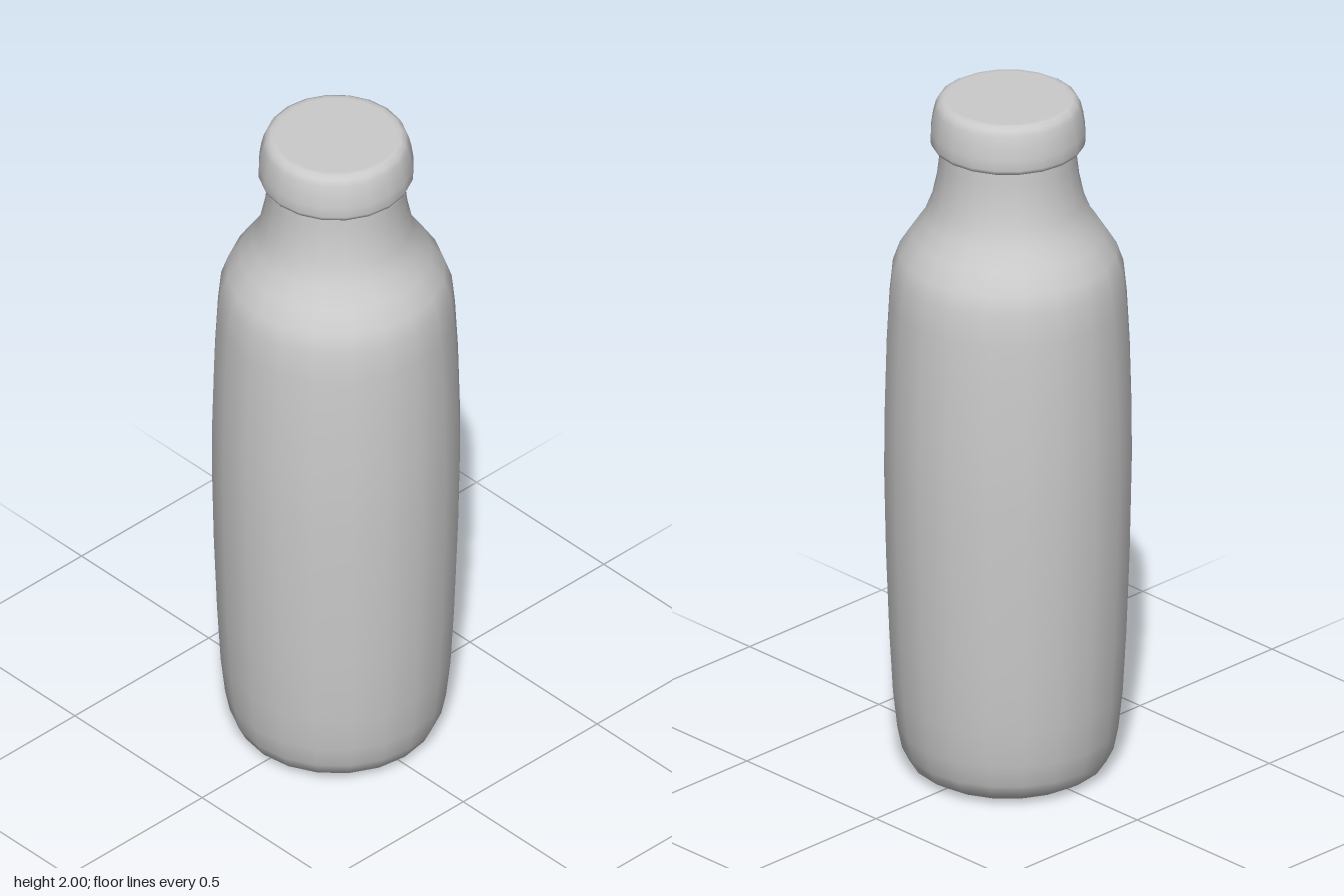
import * as THREE from 'three';

const SIDES = 20;
const material = new THREE.MeshStandardMaterial({ color: 0xcccccc });

// Revolves [radius, height] pairs, listed from bottom to top
function turned(name, profile) {
  const points = profile.map(([r, y]) => new THREE.Vector2(r, y));
  const mesh = new THREE.Mesh(new THREE.LatheGeometry(points, SIDES), material);
  mesh.name = name;
  return mesh;
}

export function createModel() {
  const group = new THREE.Group();
  group.name = 'bottle';

  // Body: rounded base, slightly bulging wall, soft shoulder and neck
  group.add(turned('body', [
    [0, 0], [0.215, 0], [0.24, 0.006], [0.27, 0.025], [0.29, 0.065],
    [0.303, 0.13], [0.315, 0.24], [0.325, 0.42], [0.334, 0.66],
    [0.339, 0.9], [0.338, 1.06], [0.333, 1.25], [0.325, 1.4],
    [0.316, 1.49], [0.297, 1.545], [0.262, 1.6], [0.228, 1.65],
    [0.208, 1.7], [0.195, 1.76], [0.188, 1.82], [0.185, 1.9],
  ]));

  // Cap: overhanging rim, tapered wall and flat top
  group.add(turned('cap', [
    [0.17, 1.866], [0.197, 1.864], [0.207, 1.868], [0.212, 1.88], [0.211, 1.91],
    [0.206, 1.945], [0.199, 1.975], [0.191, 1.992], [0.178, 2], [0.165, 2], [0, 2],
  ]));

  return group;
}
